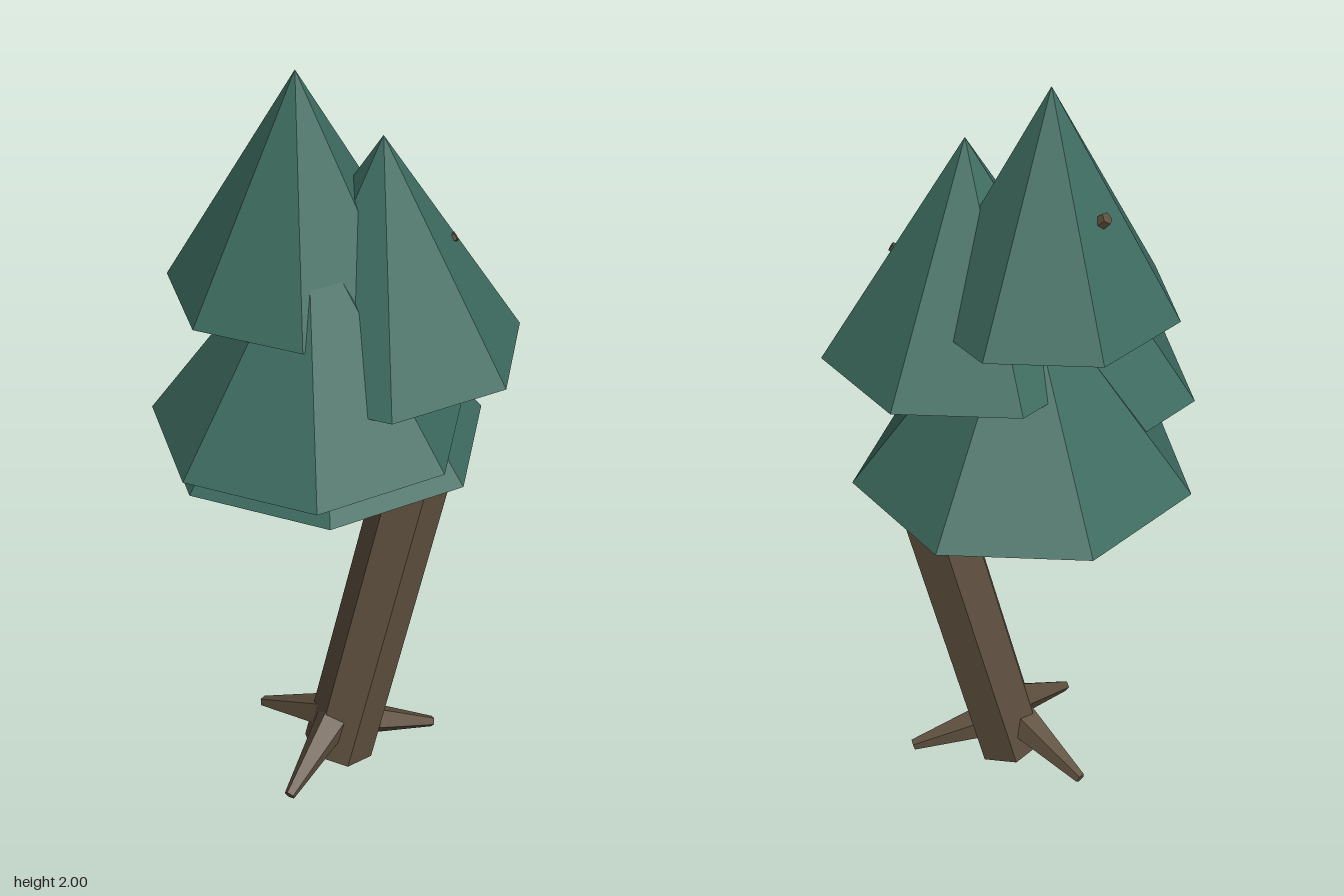
import * as THREE from 'three';

const leaf = new THREE.MeshStandardMaterial({ color: 0x3c6a5e, flatShading: true });
leaf.name = 'pine green';
const bark = new THREE.MeshStandardMaterial({ color: 0x5f503f, flatShading: true });
bark.name = 'bark brown';

// Tapered prism running from point a to point b
function limb(name, a, b, rA, rB, sides) {
  const from = new THREE.Vector3(...a);
  const to = new THREE.Vector3(...b);
  const dir = to.clone().sub(from);
  const mesh = new THREE.Mesh(new THREE.CylinderGeometry(rB, rA, dir.length(), sides), bark);
  mesh.name = name;
  mesh.position.copy(from).add(to).multiplyScalar(0.5);
  mesh.quaternion.setFromUnitVectors(new THREE.Vector3(0, 1, 0), dir.normalize());
  return mesh;
}

export function createModel() {
  const tree = new THREE.Group();
  tree.name = 'leaningPine';

  // Foliage: seven-sided cones with one corner toward +x: [x, base y, z, radius]
  const height = 0.56;
  const tiers = [
    [-0.025, 0.99, -0.069, 0.427],
    [-0.102, 1.14, 0.10, 0.392],
    [0.097, 1.29, 0.037, 0.358],
    [-0.09, 1.44, -0.046, 0.322],
  ];
  tiers.forEach(([x, y, z, r], i) => {
    const geo = new THREE.ConeGeometry(r, height, 7);
    geo.rotateY(Math.PI / 2);
    const cone = new THREE.Mesh(geo, leaf);
    cone.name = `foliageTier${i + 1}`;
    cone.position.set(x, y + height / 2, z);
    tree.add(cone);
  });

  // Trunk: leaning lower part and an upper part bent back the other way
  tree.add(limb('lowerTrunk', [-0.01, 0.02, 0.031], [0.212, 0.924, 0.008], 0.095, 0.095, 6));
  tree.add(limb('upperTrunk', [0.21, 0.948, 0.006], [0.02, 1.5, 0], 0.097, 0.06, 6));

  // Branches whose tips just break through the foliage
  tree.add(limb('rightBranch', [0.03, 1.42, 0], [0.275, 1.57, 0.055], 0.03, 0.012, 5));
  tree.add(limb('leftBranch', [0.02, 1.46, 0], [-0.2, 1.72, -0.168], 0.035, 0.016, 5));

  // Three splayed roots
  const roots = [
    [[0.03, 0.11, 0.03], [0.26, 0.04, 0.03]],
    [[-0.02, 0.145, 0.05], [-0.195, 0.04, 0.21]],
    [[-0.02, 0.125, 0.01], [-0.165, 0.04, -0.18]],
  ];
  roots.forEach(([a, b], i) => tree.add(limb(`root${i + 1}`, a, b, 0.052, 0.015, 5)));

  return tree;
}
